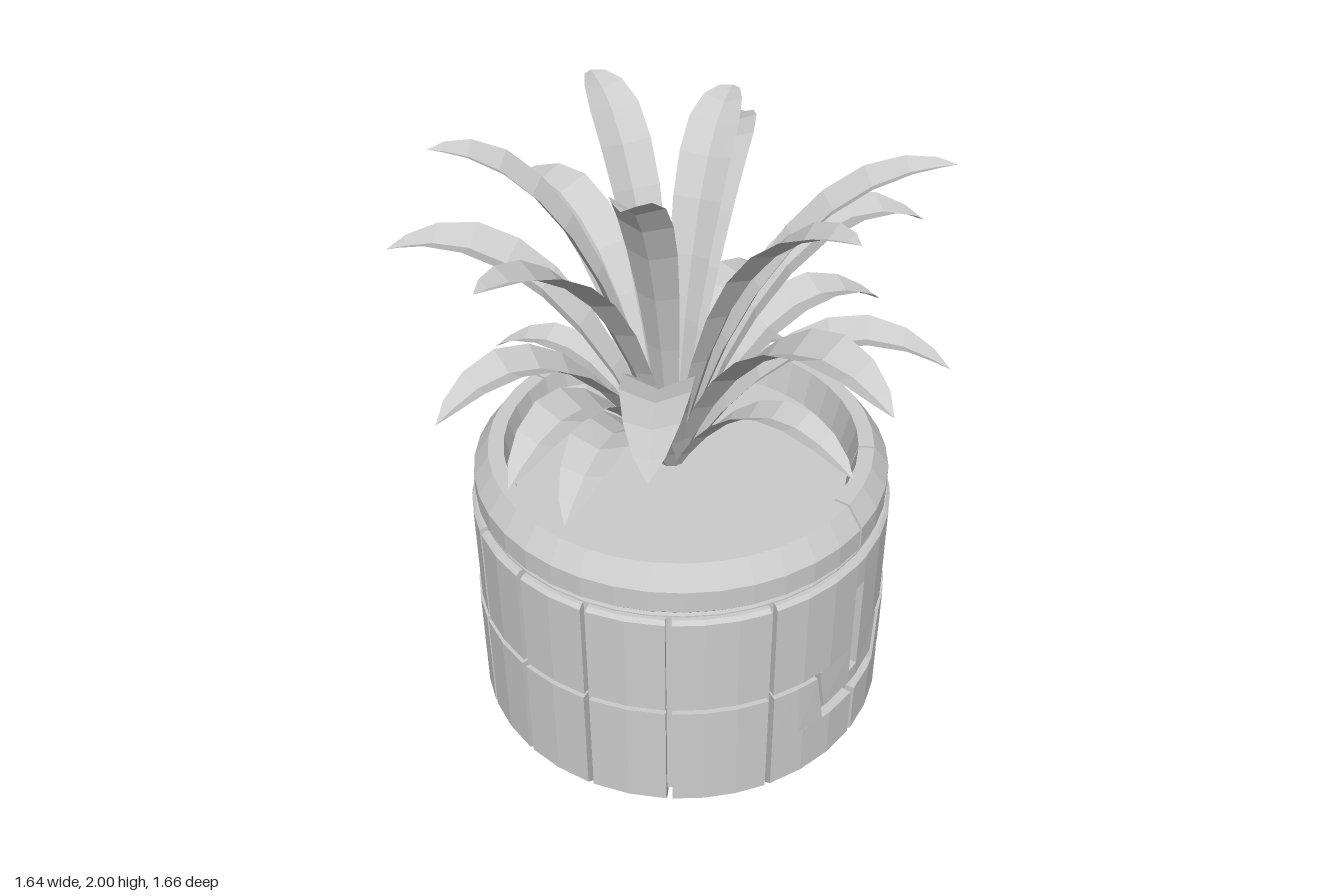
import * as THREE from 'three';

const material = new THREE.MeshStandardMaterial({ color: 0xcccccc, flatShading: true });
const leafMaterial = new THREE.MeshStandardMaterial({ color: 0xcccccc, flatShading: true, side: THREE.DoubleSide });
const CX = -0.04, CZ = 0.015; // pot axis
const GAP = 0.8; // half seam width in degrees

function fromTriangles(points, index) {
  const g = new THREE.BufferGeometry();
  g.setAttribute('position', new THREE.Float32BufferAttribute(points, 3));
  g.setIndex(index);
  g.computeVertexNormals();
  return g;
}

// Curved block: closed convex (radius, y) profile swept between two angles.
// The angles are in degrees from the front and may depend on y.
function wedge(profile, from, to) {
  const at = (a, y) => (typeof a === 'function' ? a(y) : a);
  const n = profile.length;
  const span = at(to, profile[0][1]) - at(from, profile[0][1]);
  const steps = Math.max(1, Math.round(span / 9));
  const points = [], index = [];
  for (let s = 0; s <= steps; s++) {
    for (const [r, y] of profile) {
      const a = THREE.MathUtils.degToRad(THREE.MathUtils.lerp(at(from, y), at(to, y), s / steps));
      points.push(r * Math.sin(a), y, r * Math.cos(a));
    }
  }
  for (let s = 0; s < steps; s++) {
    for (let i = 0; i < n; i++) {
      const j = (i + 1) % n, p = s * n, q = p + n;
      index.push(p + i, q + i, q + j, p + i, q + j, p + j);
    }
  }
  const e = steps * n;
  for (let i = 1; i < n - 1; i++) index.push(0, i, i + 1, e, e + i + 1, e + i);
  return fromTriangles(points, index);
}

// Straight block section with a small chamfer along the top
const band = (r, y0, y1, chamfer = 0) => [
  [r - 0.06, y0], [r, y0], [r, y1 - chamfer], [r - chamfer, y1], [r - 0.06, y1],
];

// Arching leaf with a shallow V section, running from the crown to its tip
function leafGeometry([x, y, z], width, droop) {
  const dx = x + 0.03, dz = z + 0.03;
  const reach = Math.hypot(dx, dz), ux = dx / reach, uz = dz / reach;
  const base = 0.83, rise = y - base;
  const along = (t, h) => new THREE.Vector3(-0.03 + ux * t, h, -0.03 + uz * t);
  const curve = new THREE.CubicBezierCurve3(
    along(0.015, base), along(reach * 0.22, base + rise * 0.6 + 0.07),
    along(reach * 0.55, y + droop), along(reach, y));
  // [position along the leaf, share of the full half width]
  const outline = [[0, 0.3], [0.13, 0.45], [0.26, 0.63], [0.39, 0.8], [0.52, 0.94],
    [0.64, 1], [0.76, 0.97], [0.87, 0.75], [0.95, 0.42], [1, 0]];
  const side = new THREE.Vector3(uz, 0, -ux);
  const points = [], index = [];
  outline.forEach(([t, h], i) => {
    const p = curve.getPoint(t);
    const up = new THREE.Vector3().crossVectors(curve.getTangent(t), side).normalize();
    for (const s of [-1, 0, 1]) {
      const q = p.clone().addScaledVector(side, s * h * width)
        .addScaledVector(up, (s ? 0.2 : -0.2) * h * width);
      points.push(q.x, q.y, q.z);
    }
    if (i) {
      const a = (i - 1) * 3, b = i * 3;
      for (const k of [0, 1]) index.push(a + k, a + k + 1, b + k + 1, a + k, b + k + 1, b + k);
    }
  });
  return fromTriangles(points, index);
}

export function createModel() {
  const model = new THREE.Group();
  const pot = new THREE.Group();
  pot.name = 'pot';
  pot.position.set(CX, 0, CZ);
  const plant = new THREE.Group();
  plant.name = 'plant';
  model.add(pot, plant);

  const add = (parent, name, geometry, mat = material) => {
    const mesh = new THREE.Mesh(geometry, mat);
    mesh.name = name;
    parent.add(mesh);
    return mesh;
  };

  // Inner body that shows at the bottom of the seams
  const core = [[0, 0], [0.6, 0], [0.66, 0.06], [0.66, 0.82], [0.65, 0.84], [0.65, 0.92],
    [0.605, 0.975], [0.575, 0.975], [0.545, 0.82]].map(([r, y]) => new THREE.Vector2(r, y));
  add(pot, 'potCore', new THREE.LatheGeometry(core, 40));
  add(pot, 'soil', new THREE.CircleGeometry(0.56, 40).rotateX(-Math.PI / 2)).position.y = 0.87;

  // Rim, chamfered outside and sloping inward
  const rim = [[0.53, 0.83], [0.655, 0.83], [0.67, 0.845], [0.67, 0.92], [0.62, 0.99], [0.57, 0.99]];
  const rimSeams = [0, 29, 180, 360];
  for (let i = 0; i < 3; i++) add(pot, 'rim', wedge(rim, rimSeams[i] + GAP / 2, rimSeams[i + 1] - GAP / 2));

  const UPPER = 0.685, LOWER = 0.692;
  const upper = band(UPPER, 0.447, 0.815, 0.012);
  const foot = (top) => [[0.58, 0], [0.64, 0], [LOWER, 0.045], [LOWER, top], [0.63, top]];

  // Plain blocks of both rows around the two sides
  const seams = [31, 58, 80, 101, 122, 149];
  for (const turn of [0, 180]) {
    for (let i = 0; i < seams.length - 1; i++) {
      const a = turn ? 360 - seams[i + 1] : seams[i], b = turn ? 360 - seams[i] : seams[i + 1];
      add(pot, 'upperBlock', wedge(upper, a + GAP, b - GAP));
      add(pot, 'lowerBlock', wedge(foot(0.437), a + GAP, b - GAP));
    }
  }

  // Front and back: a slotted tongue reaching down into a notch
  const SLOT = 2;
  const tongueEdge = (y) => 12.3 + (y - 0.25) * 14;
  const notchEdge = (y) => tongueEdge(y) + 1.5;
  const tongueFoot = (top) => [[0.62, 0.25], [0.66, 0.25], [UPPER, 0.285], [UPPER, top], [0.62, top]];
  for (const turn of [0, 180]) {
    const face = new THREE.Group();
    face.name = turn ? 'backFace' : 'frontFace';
    face.rotation.y = THREE.MathUtils.degToRad(turn);
    pot.add(face);
    const mirrored = (name, profile, a, b) => {
      const neg = (f) => (typeof f === 'function' ? (y) => -f(y) : -f);
      add(face, name, wedge(profile, a, b));
      add(face, name, wedge(profile, neg(b), neg(a)));
    };
    mirrored('slottedBlock', upper, SLOT, 31 - GAP);
    mirrored('tongue', tongueFoot(0.447), SLOT, tongueEdge);
    mirrored('notchBase', foot(0.235), GAP, 31 - GAP);
    mirrored('notchSide', band(LOWER, 0.235, 0.437), notchEdge, 31 - GAP);
    add(face, 'slotTop', wedge(band(UPPER, 0.7, 0.815, 0.012), -SLOT, SLOT));
    add(face, 'slotBottom', wedge(tongueFoot(0.34), -SLOT, SLOT));
  }

  // Leaf tips by tier
  const tiers = {
    tallLeaf: { width: 0.083, droop: 0.03, tips: [
      [-0.45, 1.99, -0.57], [0.27, 1.99, -0.55], [0.48, 1.91, 0.63], [0.51, 1.95, -0.17],
      [-0.1, 1.91, 0.64], [-0.8, 1.85, -0.1], [-0.42, 1.98, 0.09]] },
    highLeaf: { width: 0.1, droop: 0.21, tips: [
      [-0.43, 1.58, -0.82], [0.21, 1.58, -0.83], [0.82, 1.71, -0.32]] },
    middleLeaf: { width: 0.1, droop: 0.28, tips: [
      [0.66, 1.6, 0.46], [-0.2, 1.49, 0.83], [-0.79, 1.47, 0.44]] },
    lowLeaf: { width: 0.09, droop: 0.31, tips: [
      [0.7, 1.2, -0.12], [0.7, 1.24, 0.31], [0.38, 1.29, 0.73],
      [-0.82, 1.26, -0.02], [-0.8, 1.2, 0.16], [-0.79, 1.34, -0.31]] },
    shortLeaf: { width: 0.07, droop: 0.25, tips: [
      [-0.13, 1.17, 0.69], [-0.14, 1.13, -0.67], [0.35, 1.1, -0.45], [-0.42, 1.08, -0.3], [0.49, 1.09, 0.1]] },
  };
  for (const [name, { width, droop, tips }] of Object.entries(tiers)) {
    for (const tip of tips) add(plant, name, leafGeometry(tip, width, droop), leafMaterial);
  }
  return model;
}
